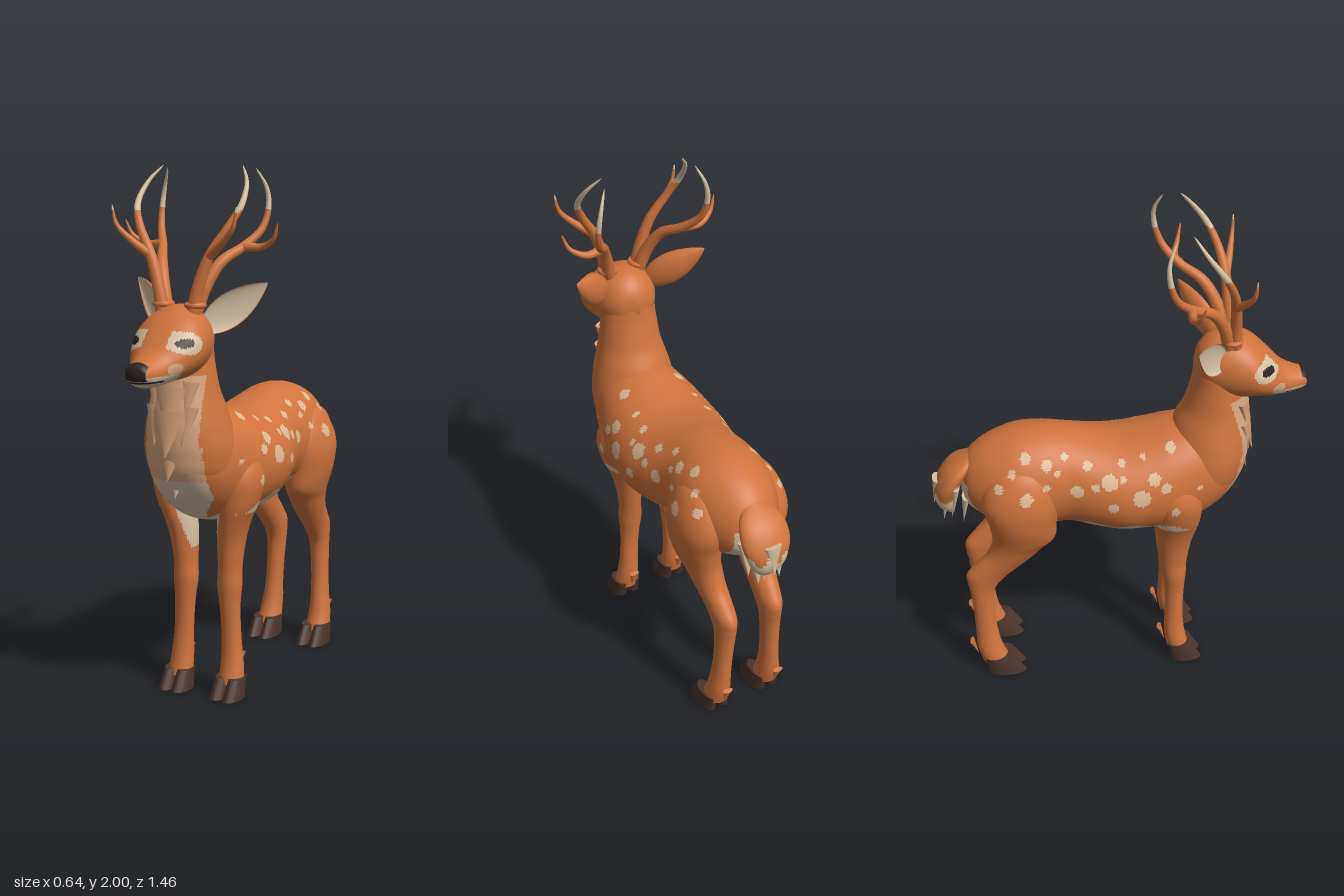
import * as THREE from 'three';

const mat = (name, color) => {
  const m = new THREE.MeshStandardMaterial({ color });
  m.name = name;
  return m;
};
const MATS = [
  mat('orange fur', 0xcf733c), mat('cream fur', 0xd4c0a2), mat('peach chest', 0xd9a67e),
  mat('spot', 0xdcb893), mat('hoof', 0x49342c), mat('dark nose', 0x2f2421)
];
const FUR = 0, CREAM = 1, PEACH = 2, SPOT = 3, HOOF = 4, DARK = 5;

// Catmull-Rom blend through rows of numbers
function sample(rows, t) {
  const n = rows.length - 1, f = Math.min(t * n, n - 1e-9), i = Math.floor(f), k = f - i;
  const r = j => rows[Math.max(0, Math.min(n, j))];
  const a = r(i - 1), b = r(i), c = r(i + 1), d = r(i + 2);
  return b.map((_, q) => 0.5 * (2 * b[q] + (c[q] - a[q]) * k +
    (2 * a[q] - 5 * b[q] + 4 * c[q] - d[q]) * k * k + (3 * b[q] - a[q] - 3 * c[q] + d[q]) * k * k * k));
}

// Closed tube-like surface; each face takes the material chosen by colour(x, y, z, v)
function surface(name, nu, nv, point, colour) {
  const pos = [], buckets = MATS.map(() => []), tris = [];
  for (let i = 0; i <= nu; i++)
    for (let j = 0; j < nv; j++) pos.push(...point(i / nu, j / nv * Math.PI * 2, i));
  for (let i = 0; i < nu; i++)
    for (let j = 0; j < nv; j++) {
      const a = i * nv + j, b = a + nv, c = i * nv + (j + 1) % nv, d = c + nv;
      tris.push([a, b, c, (j + 0.5) / nv], [b, d, c, (j + 0.5) / nv]);
    }
  const P = i => new THREE.Vector3(pos[i * 3], pos[i * 3 + 1], pos[i * 3 + 2]);
  const origin = P(0);
  let volume = 0;
  for (const t of tris) {
    const [a, b, c] = [P(t[0]), P(t[1]), P(t[2])];
    const m = a.clone().add(b).add(c).divideScalar(3);
    volume += a.sub(origin).dot(b.sub(origin).cross(c.sub(origin)));
    buckets[colour(m.x, m.y, m.z, t[3])].push(t);
  }
  const geo = new THREE.BufferGeometry(), index = [], used = [];
  buckets.forEach((list, k) => {
    if (!list.length) return;
    geo.addGroup(index.length, list.length * 3, used.length);
    used.push(MATS[k]);
    for (const t of list) volume > 0 ? index.push(t[0], t[1], t[2]) : index.push(t[0], t[2], t[1]);
  });
  geo.setAttribute('position', new THREE.Float32BufferAttribute(pos, 3));
  geo.setIndex(index);
  geo.computeVertexNormals();
  const mesh = new THREE.Mesh(geo, used);
  mesh.name = name;
  return mesh;
}

// rows: z, top, bottom, half width
const alongZ = rows => (u, a) => {
  const [z, t, b, w] = sample(rows, u);
  return [w * Math.cos(a), (t + b) / 2 + (t - b) / 2 * Math.sin(a), z];
};
// rows: y, x, z, x radius, z radius
const alongY = (rows, s = 1) => (u, a) => {
  const [y, x, z, rx, rz] = sample(rows, u);
  return [s * (x + rx * Math.cos(a)), y, z + rz * Math.sin(a)];
};

// Flank spots: z, y, radius
const SPOTS = [
  [.07, .92, .034], [-.175, .945, .03], [-.37, .94, .026], [-.05, .985, .03], [-.13, 1.04, .021],
  [-.285, 1.05, .022], [-.365, 1.075, .02], [.12, .99, .024], [.165, .955, .02], [0, 1.045, .02],
  [-.105, .965, .018], [.19, 1.08, .018], [.3, .93, .02], [-.245, 1.02, .017], [-.475, .98, .024],
  [-.535, .925, .02], [-.04, .885, .02], [-.545, .85, .02], [.2, .845, .018], [.0, .995, .014],
  [-.215, 1.07, .016], [.08, 1.06, .015], [-.29, .97, .02], [-.42, 1.03, .018]
].map(([z, y, r]) => [z, y, r, 0.23 * Math.sqrt(1 - ((y - 0.87) / 0.25) ** 2)]);

function coat(x, y, z) {
  const ax = Math.abs(x);
  // chest bib
  const bib = y > 1.0 ? 0.11 : y > 0.8 ? 0.118 : 0.118 * (y - 0.64) / 0.16;
  if (z > 0.3 && y < 1.26 && ax < bib && (y < 0.8 || z > 0.38)) return y > 0.87 ? PEACH : CREAM;
  // belly and rump
  const edge = 0.765 + 0.012 * Math.sin(z * 40) - 0.12 * Math.max(0, z - 0.05);
  if (y < edge && y > 0.6 && z < 0.3 && z > -0.27 && ax < 0.24) return CREAM;
  if (z < -0.5 && ax < 0.09 && y > 0.68 && y < 0.93) return CREAM;
  for (const [sz, sy, r, sx] of SPOTS)
    if ((z - sz) ** 2 + (y - sy) ** 2 + 0.25 * (ax - sx) ** 2 < r * r) return SPOT;
  return FUR;
}

function face(x, y, z) {
  const ax = Math.abs(x);
  if (z > 0.695 && ax < 0.042 && y > 1.268) return DARK;
  if (z > 0.635 && Math.abs(y - 1.262) < 0.0035) return DARK;
  if (ax > 0.05) {
    if (((z - 0.552) / 0.027) ** 2 + ((y - 1.387 - (z - 0.552) * -0.2) / 0.015) ** 2 < 1) return DARK;
    if (((z - 0.55) / 0.055) ** 2 + ((y - 1.388) / 0.04) ** 2 < 1) return CREAM;
  }
  if ((z > 0.57 && y < 1.282) || (z > 0.4 && y < 1.26)) return CREAM;
  if (ax > 0.04 && ((z - 0.6) / 0.028) ** 2 + ((y - 1.3) / 0.022) ** 2 < 1) return PEACH;
  return FUR;
}

const BODY = [
  [-.615, .93, .89, 0], [-.6, .99, .82, .07], [-.57, 1.04, .78, .11], [-.5, 1.088, .74, .155],
  [-.4, 1.122, .71, .19], [-.3, 1.129, .705, .19], [-.2, 1.115, .71, .185], [-.1, 1.09, .69, .212],
  [0, 1.078, .675, .235], [.1, 1.095, .67, .232], [.2, 1.12, .67, .218], [.3, 1.135, .695, .19],
  [.38, 1.11, .745, .16], [.44, 1.07, .81, .125], [.48, 1.02, .88, .08], [.495, .96, .92, 0]
];
const NECK = [
  [.79, 0, .31, .08, .08], [.88, 0, .33, .155, .15], [.97, 0, .342, .172, .165], [1.06, 0, .355, .16, .158],
  [1.13, 0, .363, .142, .145], [1.2, 0, .375, .125, .122], [1.3, 0, .38, .112, .1],
  [1.4, 0, .38, .1, .085], [1.46, 0, .39, .07, .06]
];
const HEAD = [
  [.285, 1.40, 1.36, 0], [.305, 1.45, 1.31, .065], [.34, 1.488, 1.275, .1], [.39, 1.508, 1.25, .122],
  [.45, 1.505, 1.243, .136], [.51, 1.475, 1.243, .139], [.57, 1.418, 1.24, .114], [.62, 1.366, 1.236, .082],
  [.67, 1.34, 1.238, .062], [.705, 1.33, 1.25, .05], [.722, 1.318, 1.265, .036], [.73, 1.3, 1.29, 0]
];
const FRONT_LEG = [
  [1.0, .13, .2, 0, 0], [.96, .14, .2, .05, .065], [.86, .15, .21, .078, .1], [.76, .138, .22, .072, .094],
  [.68, .117, .222, .06, .08], [.6, .103, .218, .052, .066], [.5, .097, .217, .045, .053],
  [.43, .096, .22, .048, .048], [.36, .098, .222, .041, .041], [.28, .102, .222, .038, .037],
  [.2, .106, .222, .039, .038], [.12, .11, .226, .045, .043], [.05, .113, .24, .05, .045]
];
const HIND_LEG = [
  [1.05, .1, -.38, 0, 0], [1.02, .11, -.38, .06, .085], [.95, .125, -.385, .088, .135], [.87, .135, -.39, .096, .15],
  [.78, .135, -.385, .09, .132], [.7, .125, -.383, .076, .124], [.65, .116, -.408, .066, .107],
  [.6, .11, -.44, .058, .097], [.55, .105, -.486, .051, .093], [.5, .102, -.532, .046, .085],
  [.45, .101, -.554, .042, .062], [.4, .102, -.56, .039, .048], [.3, .106, -.558, .036, .042],
  [.2, .11, -.552, .037, .045], [.12, .114, -.543, .044, .052], [.05, .116, -.52, .05, .056]
];
const TAIL = [
  [1.03, 0, -.56, .03, .02], [.98, 0, -.615, .085, .045], [.92, 0, -.655, .098, .05],
  [.86, 0, -.675, .085, .048], [.8, 0, -.675, .06, .036], [.74, 0, -.66, 0, 0]
];

// Antler branches: points on the left side, base radius
const ANTLER = [
  ['rearBeam', .027, [[.06, 1.48, .41], [.09, 1.58, .38], [.125, 1.66, .33], [.17, 1.71, .25], [.212, 1.77, .19], [.225, 1.85, .16], [.215, 1.92, .157], [.185, 1.99, .185]]],
  ['frontBeam', .026, [[.062, 1.48, .43], [.085, 1.58, .425], [.12, 1.68, .415], [.18, 1.78, .39], [.215, 1.86, .35], [.205, 1.94, .29], [.165, 2, .245]]],
  ['browTine', .018, [[.12, 1.68, .415], [.19, 1.735, .44], [.24, 1.79, .455], [.255, 1.86, .46]]],
  ['outerTine', .018, [[.17, 1.71, .25], [.24, 1.71, .24], [.295, 1.74, .258], [.32, 1.8, .272]]]
];
function antlerBranch(name, radius, pts, s) {
  const curve = new THREE.CatmullRomCurve3(pts.map(p => new THREE.Vector3(s * p[0], p[1], p[2])));
  const n = 36, frames = curve.computeFrenetFrames(n);
  return surface(name, n, 14, (u, a, i) => {
    const r = radius * Math.sqrt(1 - u) * (1 - 0.3 * u) + 0.0005;
    return curve.getPointAt(u).addScaledVector(frames.normals[i], r * Math.cos(a))
      .addScaledVector(frames.binormals[i], r * Math.sin(a)).toArray();
  }, (x, y) => (y > 1.84 ? CREAM : FUR));
}

// Cupped leaf: back shell in fur, hollow front in cream
function ear(s) {
  const base = new THREE.Vector3(.09, 1.425, .395), tip = new THREE.Vector3(.275, 1.585, .26);
  const dir = tip.clone().sub(base), n = new THREE.Vector3(.6, 0, .8), side = dir.clone().normalize().cross(n);
  return surface('ear', 32, 48, (u, a) => {
    const w = 0.062 * Math.pow(Math.sin(Math.PI * Math.pow(u * 0.92 + 0.08, 0.85)), 0.8) || 0;
    const depth = -Math.sin(a) > 0 ? 0.6 : 0.32;
    const p = base.clone().addScaledVector(dir, u).addScaledVector(side, w * Math.cos(a))
      .addScaledVector(n, -w * depth * Math.abs(Math.sin(a)));
    return [s * p.x, p.y, p.z];
  }, (x, y, z, v) => (v > 0.04 && v < 0.46 ? CREAM : FUR));
}

// Flattened pointed lock of fur hanging from its root
function lock(name, k, x, tipY, z, length, width, tilt) {
  const geo = new THREE.ConeGeometry(width, length, 14, 4);
  geo.rotateX(Math.PI).scale(1, 1, 0.45).translate(0, length / 2, 0).rotateX(tilt).translate(x, tipY, z);
  const m = new THREE.Mesh(geo, MATS[k]);
  m.name = name;
  return m;
}

function hoof(x, z, length) {
  const g = new THREE.Group();
  g.name = 'hoof';
  for (const o of [-1, 1]) {
    const geo = new THREE.CylinderGeometry(.78, 1, .075, 20, 3), p = geo.attributes.position;
    for (let i = 0; i < p.count; i++)
      p.setXYZ(i, x + o * .029 + p.getX(i) * .035, p.getY(i) + .0375, z + p.getZ(i) * length - p.getY(i) * .4);
    geo.computeVertexNormals();
    const toe = new THREE.Mesh(geo, MATS[HOOF]);
    toe.name = 'toe';
    g.add(toe);
  }
  return g;
}

export function createModel() {
  const g = new THREE.Group();
  g.name = 'deer';
  g.add(surface('body', 150, 120, alongZ(BODY), coat));
  g.add(surface('neck', 70, 80, alongY(NECK), coat));
  g.add(surface('head', 100, 90, alongZ(HEAD), face));
  g.add(surface('tail', 30, 32, alongY(TAIL), (x, y, z) =>
    y < 0.86 + 0.02 * Math.sin(x * 90) || (z > -0.64 && y < 0.93) ? CREAM : FUR));

  // tail tips
  for (const [x, y, z] of [[0, .715, -.66], [-.045, .74, -.69], [.045, .74, -.69], [-.07, .79, -.65], [.07, .79, -.65], [0, .79, -.725], [-.04, .72, -.615], [.04, .72, -.615]])
    g.add(lock('tailLock', CREAM, x, y, z, .13, .035, .12));
  // layered chest mane
  for (const [tipY, z, w] of [[1.05, .523, .07], [.96, .532, .075], [.875, .512, .075], [.8, .46, .07]]) {
    g.add(lock('chestLock', tipY > .85 ? PEACH : CREAM, 0, tipY, z, .17, w, -.3));
    for (const s of [-1, 1])
      g.add(lock('chestLock', tipY > .85 ? PEACH : CREAM, s * .06, tipY + .04, z - .025, .15, w * .65, -.25));
  }

  for (const s of [1, -1]) {
    g.add(surface('frontLeg', 80, 48, alongY(FRONT_LEG, s), (x, y, z) =>
      y > .72 ? coat(x, y, z) : y > .56 && Math.abs(x) < .05 + (y - .54) * .25 ? CREAM : FUR));
    g.add(surface('hindLeg', 110, 56, alongY(HIND_LEG, s), (x, y, z) =>
      y > .8 ? coat(x, y, z) : FUR));
    g.add(hoof(s * .113, .258, .063), hoof(s * .116, -.492, .078));
    // fetlock tufts
    g.add(lock('fetlockTuft', FUR, s * .112, .075, .185, .08, .022, -.3));
    g.add(lock('fetlockTuft', FUR, s * .116, .075, -.592, .08, .022, -.3));
    g.add(ear(s));
    const antler = new THREE.Group();
    antler.name = 'antler';
    for (const [name, r, pts] of ANTLER) antler.add(antlerBranch(name, r, pts, s));
    // burr at the antler base
    const burr = new THREE.Mesh(new THREE.TorusGeometry(.03, .011, 10, 24).rotateX(Math.PI / 2), MATS[FUR]);
    burr.name = 'burr';
    burr.position.set(s * .066, 1.508, .418);
    antler.add(burr);
    g.add(antler);
  }
  return g;
}
